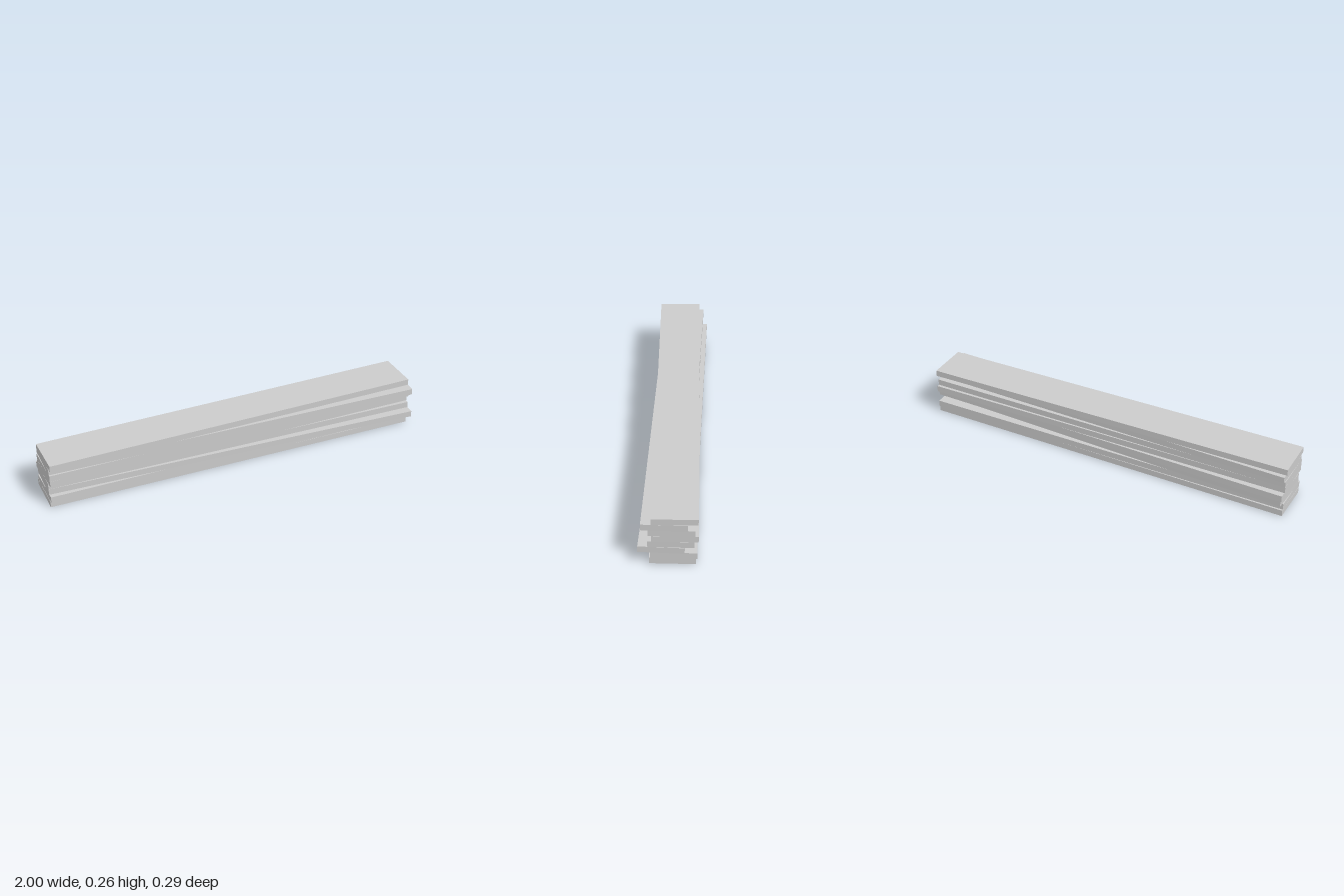
import * as THREE from 'three';

const LENGTH = 1.99;
const HEIGHT = 0.0322;
const WIDTH = 0.217;

// Bottom to top: z of the plank's centre line at its left (+x) and right (-x) end, then x shift
const PLANKS = [
  [-0.017, -0.017, -0.003],
  [-0.023, -0.007, -0.002],
  [0.036, -0.033, 0],
  [-0.009, -0.034, -0.002],
  [-0.0285, -0.0015, -0.002],
  [-0.0125, -0.0025, -0.002],
  [0.0215, -0.0135, 0],
  [-0.0275, 0.0105, -0.002],
];

export function createModel() {
  const stack = new THREE.Group();
  stack.name = 'plankStack';
  const material = new THREE.MeshStandardMaterial({ color: 0xcccccc, flatShading: true });
  const geometry = new THREE.BoxGeometry(LENGTH, HEIGHT, WIDTH);

  // Each plank lies flat on the one below, slightly skewed about the vertical
  PLANKS.forEach(([zLeft, zRight, x], i) => {
    const plank = new THREE.Mesh(geometry, material);
    plank.name = `plank${i + 1}`;
    plank.position.set(x, (i + 0.5) * HEIGHT, (zLeft + zRight) / 2);
    plank.rotation.y = Math.asin((zRight - zLeft) / LENGTH);
    stack.add(plank);
  });

  return stack;
}
